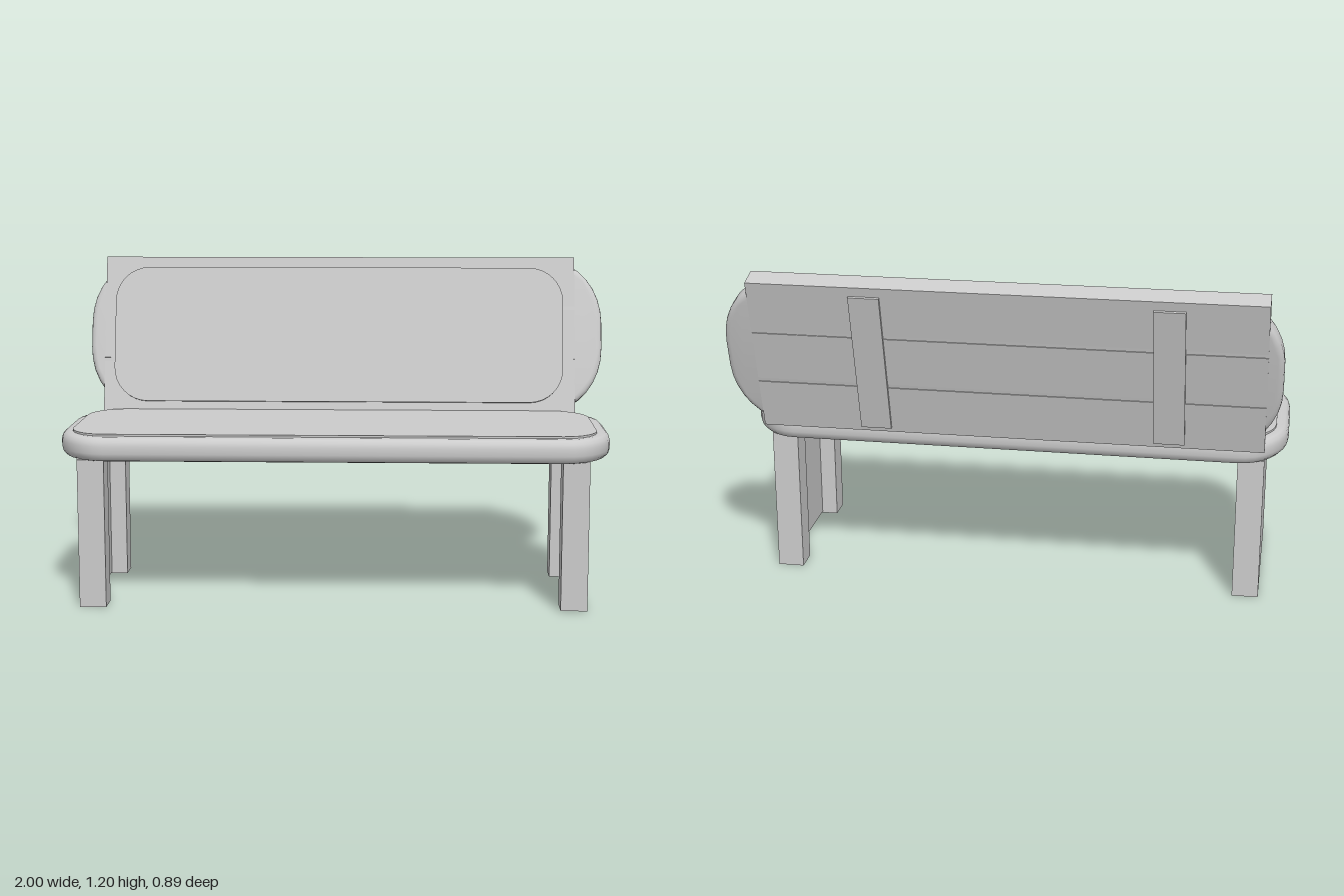
import * as THREE from 'three';
import { toCreasedNormals } from 'three/addons/utils/BufferGeometryUtils.js';

const material = new THREE.MeshStandardMaterial({ color: 0xcccccc });

function add(parent, name, geometry) {
  const mesh = new THREE.Mesh(geometry, material);
  mesh.name = name;
  parent.add(mesh);
  return mesh;
}

// Box given by its lower and upper limits on each axis
function box(parent, name, [x0, x1], [y0, y1], [z0, z1]) {
  const mesh = add(parent, name, new THREE.BoxGeometry(x1 - x0, y1 - y0, z1 - z0));
  mesh.position.set((x0 + x1) / 2, (y0 + y1) / 2, (z0 + z1) / 2);
  return mesh;
}

// Slab with elliptical corners in the xy plane, from z0 to z1, edges rounded by bevel
function pad([x0, x1], [y0, y1], [z0, z1], rx, ry, bevel) {
  const s = new THREE.Shape();
  const q = Math.PI / 2;
  s.moveTo(x0 + rx, y0);
  s.lineTo(x1 - rx, y0);
  s.absellipse(x1 - rx, y0 + ry, rx, ry, -q, 0);
  s.lineTo(x1, y1 - ry);
  s.absellipse(x1 - rx, y1 - ry, rx, ry, 0, q);
  s.lineTo(x0 + rx, y1);
  s.absellipse(x0 + rx, y1 - ry, rx, ry, q, 2 * q);
  s.lineTo(x0, y0 + ry);
  s.absellipse(x0 + rx, y0 + ry, rx, ry, 2 * q, 3 * q);
  const g = new THREE.ExtrudeGeometry(s, {
    depth: z1 - z0 - 2 * bevel, curveSegments: 4, bevelEnabled: bevel > 0,
    bevelSize: bevel, bevelThickness: bevel, bevelOffset: -bevel, bevelSegments: 3,
  });
  g.translate(0, 0, z0 + bevel);
  return toCreasedNormals(g, 0.7);
}

const FRAME_X = [-0.92, 0.89];
const STRAPS = [[-0.64, -0.53], [0.415, 0.525]];

function buildSeat() {
  const seat = new THREE.Group();
  seat.name = 'seat';
  // Pads are drawn in xy and laid flat: shape y becomes -z, depth becomes y
  const flat = (name, g) => add(seat, name, g.rotateX(-Math.PI / 2));
  flat('seatCushion', pad([-1, 0.975], [-0.445, 0.26], [0.534, 0.62], 0.18, 0.24, 0.03));
  flat('seatPanel', pad([-0.955, 0.925], [-0.393, 0.207], [0.6, 0.627], 0.13, 0.15, 0));
  // Slats and cross straps under the seat
  const count = 6, pitch = 0.6 / count;
  for (let i = 0; i < count; i++) {
    const z = -0.205 + i * pitch;
    box(seat, 'seatSlat', FRAME_X, [0.53, 0.56], [z + 0.003, z + pitch - 0.003]);
  }
  for (const x of STRAPS) box(seat, 'seatStrap', x, [0.525, 0.55], [-0.11, 0.3]);
  return seat;
}

function buildBackrest() {
  const back = new THREE.Group();
  back.name = 'backrest';
  add(back, 'backCushion', pad([-0.975, 0.995], [0.01, 0.59], [0.003, 0.081], 0.2, 0.24, 0.02));
  add(back, 'backPanel', pad([-0.88, 0.845], [0.035, 0.557], [0.06, 0.097], 0.13, 0.13, 0));
  // Three long planks carry the cushion
  for (const y of [[0, 0.19], [0.205, 0.395], [0.41, 0.6]]) {
    box(back, 'backPlank', FRAME_X, y, [0, 0.083]);
  }
  for (const x of STRAPS) box(back, 'backStrap', x, [0.02, 0.565], [-0.01, 0.02]);
  // Lean back about the lower rear edge
  back.position.set(0, 0.6, -0.29);
  back.rotation.x = -Math.PI / 12;
  return back;
}

// Leg: two posts joined by a thin plate flush with the outer side
function buildLeg(name, x, plateX) {
  const leg = new THREE.Group();
  leg.name = name;
  box(leg, 'frontPost', x, [0, 0.535], [0.3, 0.395]);
  box(leg, 'rearPost', x, [0, 0.535], [-0.205, -0.11]);
  box(leg, 'sidePlate', plateX, [0.005, 0.535], [-0.11, 0.3]);
  return leg;
}

export function createModel() {
  const bench = new THREE.Group();
  bench.name = 'bench';
  bench.add(
    buildSeat(),
    buildBackrest(),
    buildLeg('leftLeg', [0.795, 0.89], [0.855, 0.89]),
    buildLeg('rightLeg', [-0.92, -0.825], [-0.92, -0.885]),
  );
  return bench;
}
